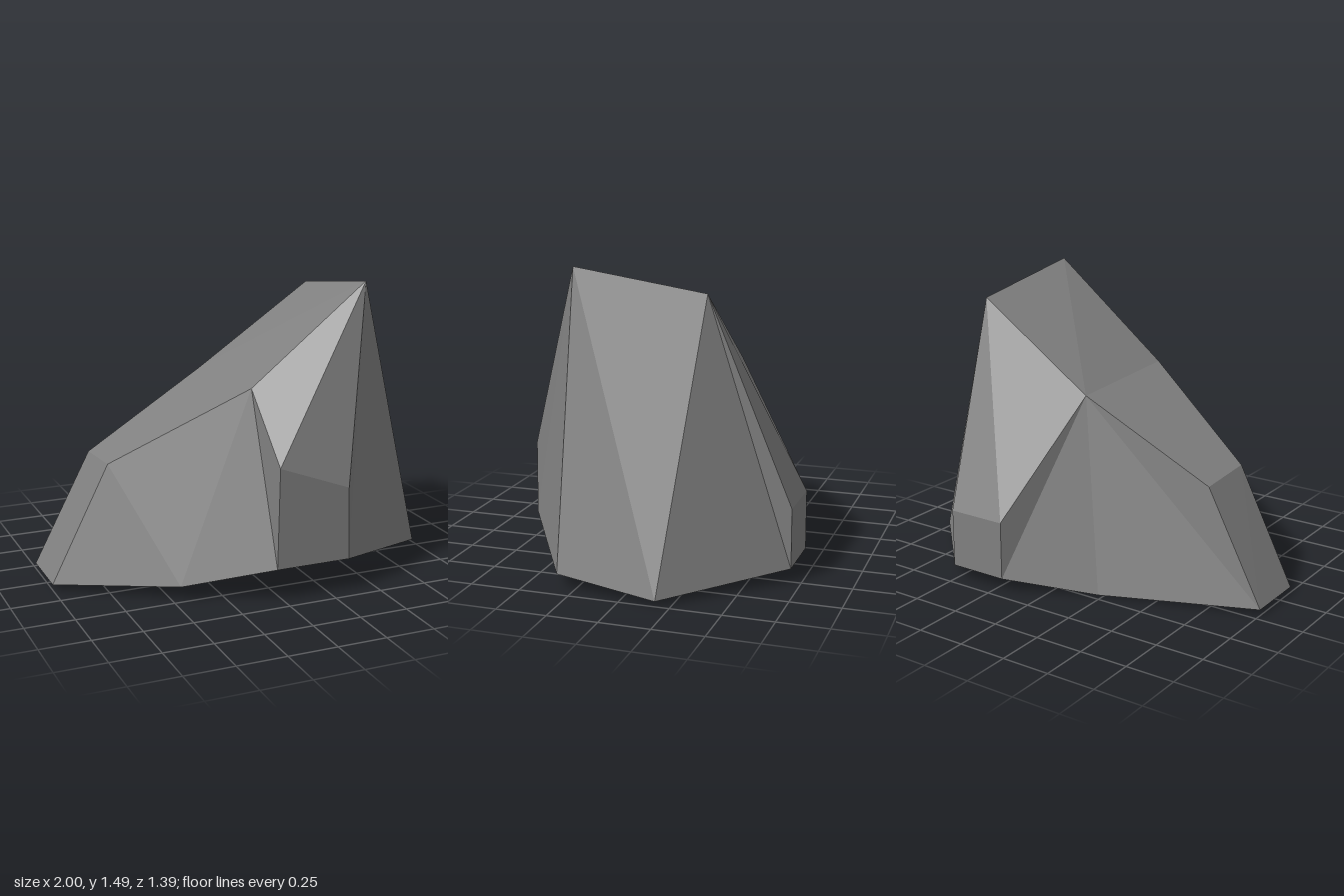
import * as THREE from 'three';

// Corner points of the boulder
const P = {
  // crown ridge
  peakF: [0.58, 1.49, 0.37], peakB: [0.58, 1.39, -0.30],
  midF: [-0.04, 1.0, 0.37], midB: [-0.04, 0.97, -0.30],
  lowF: [-0.70, 0.62, 0.11], lowB: [-0.70, 0.60, -0.21],
  // front and back facets
  frontL: [-0.03, 0.68, 0.69], frontR: [0.34, 0.54, 0.69],
  backL: [0.20, 0.37, -0.70], backR: [0.51, 0.37, -0.70],
  // base ring
  baseFrontL: [-0.04, 0.17, 0.69], baseFrontR: [0.35, 0.17, 0.69],
  baseRightF: [0.92, 0.07, 0.34], baseRightB: [1.0, 0.025, -0.18],
  baseBackR: [0.51, 0.07, -0.70], baseBackL: [0.20, 0.07, -0.70],
  baseMid: [-0.22, 0, -0.46],
  baseLeftB: [-1, 0.03, -0.21], baseLeftF: [-1, 0.03, 0.11],
  baseNotch: [-0.46, 0.07, 0.48],
};

// Facets, each a loop of corners seen counter-clockwise from outside
const crown = [
  'peakF peakB midB midF',
  'midF midB lowB lowF',
];
const sides = [
  'peakF midF frontL frontR',
  'frontL baseFrontL baseFrontR frontR',
  'peakF frontR baseFrontR baseRightF',
  'midF baseNotch baseFrontL frontL',
  'lowF baseLeftF baseNotch midF',
  'lowF lowB baseLeftB baseLeftF',
  'peakF baseRightF baseRightB peakB',
  'peakB baseRightB baseBackR backR',
  'peakB backR backL midB',
  'backR baseBackR baseBackL backL',
  'midB backL baseBackL baseMid',
  'midB baseMid baseLeftB lowB',
];
const underside = [
  'baseRightF baseFrontR baseFrontL baseNotch',
  'baseRightB baseRightF baseNotch baseLeftF baseLeftB baseMid',
  'baseRightB baseMid baseBackL baseBackR',
];

// Fan each facet into triangles with its own flat normals
function facets(name, list, material) {
  const pos = [];
  for (const face of list) {
    const c = face.split(' ').map((k) => P[k]);
    for (let i = 1; i < c.length - 1; i++) pos.push(...c[0], ...c[i], ...c[i + 1]);
  }
  const geo = new THREE.BufferGeometry();
  geo.setAttribute('position', new THREE.Float32BufferAttribute(pos, 3));
  geo.computeVertexNormals();
  const mesh = new THREE.Mesh(geo, material);
  mesh.name = name;
  return mesh;
}

export function createModel() {
  const stone = new THREE.MeshStandardMaterial({ color: 0x808080 });
  stone.name = 'grey stone';
  stone.flatShading = true;

  const rock = new THREE.Group();
  rock.name = 'rock';
  rock.add(
    facets('rockCrown', crown, stone),
    facets('rockSides', sides, stone),
    facets('rockUnderside', underside, stone),
  );
  return rock;
}
